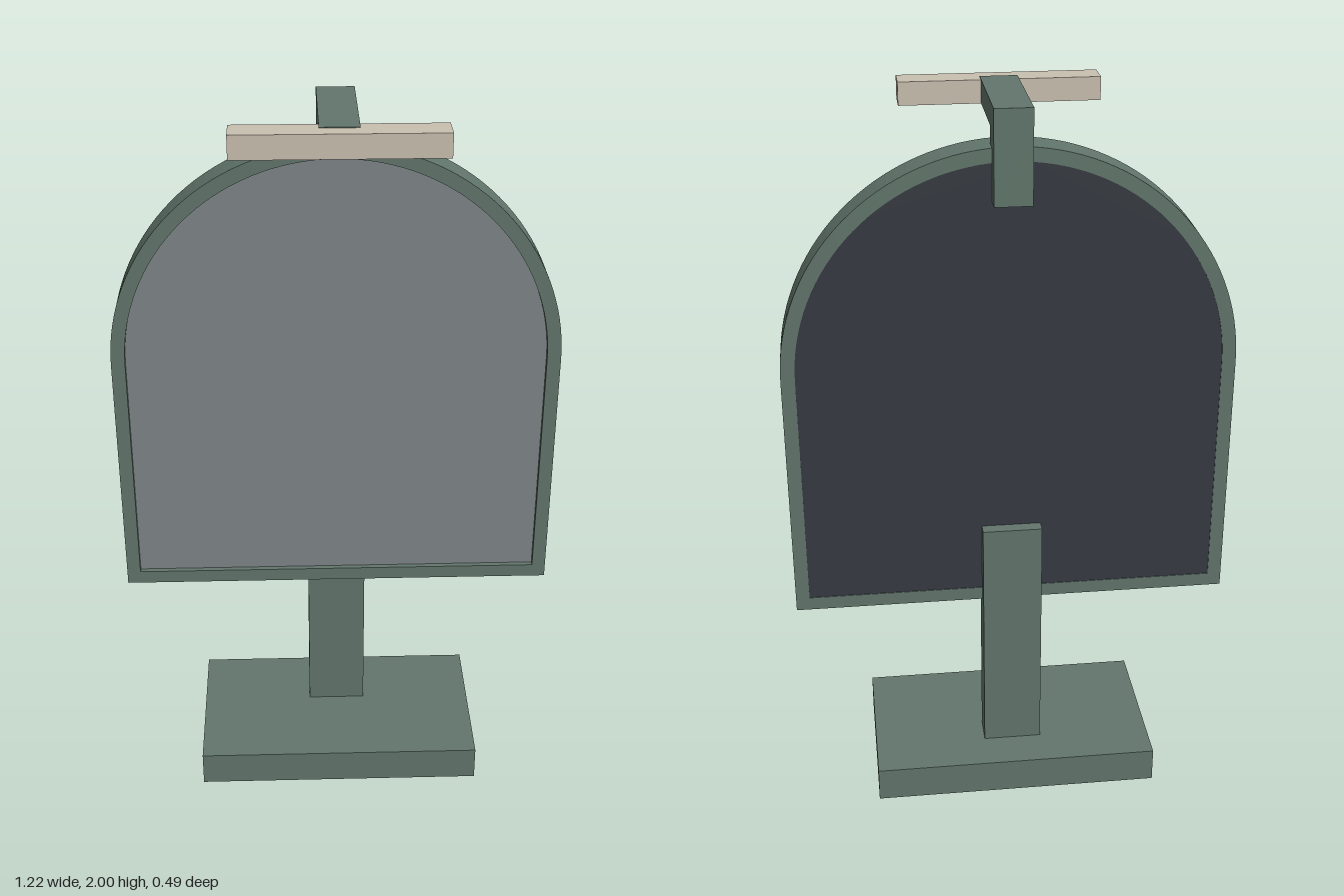
import * as THREE from 'three';

const material = (name, color) => {
  const m = new THREE.MeshStandardMaterial({ color });
  m.name = name;
  return m;
};

// Arched outline: straight sides and base, half-round top
function arch(Outline, r, bottom, spring) {
  const s = new Outline();
  s.moveTo(-r, bottom);
  s.lineTo(r, bottom);
  s.lineTo(r, spring);
  s.absarc(0, spring, r, 0, Math.PI, false);
  s.lineTo(-r, bottom);
  return s;
}

export function createModel() {
  const green = material('painted green', 0x62766c);
  const grey = material('mirror grey', 0x7f8589);
  const dark = material('dark backing', 0x363b42);
  const beige = material('lamp beige', 0xc9c0b0);
  const model = new THREE.Group();
  model.name = 'standingMirror';

  const add = (name, geometry, mat) => {
    const mesh = new THREE.Mesh(geometry, mat);
    mesh.name = name;
    model.add(mesh);
  };
  // Box given by its lower and upper limits on each axis
  const box = (name, [x0, x1], [y0, y1], [z0, z1], mat) => add(name,
    new THREE.BoxGeometry(x1 - x0, y1 - y0, z1 - z0)
      .translate((x0 + x1) / 2, (y0 + y1) / 2, (z0 + z1) / 2), mat);
  // Extruded outline between two depths
  const slab = (name, shape, z0, z1, mat) => add(name,
    new THREE.ExtrudeGeometry(shape, { depth: z1 - z0, bevelEnabled: false, curveSegments: 32 })
      .translate(0, 0, z0), mat);

  // Foot and post
  box('base', [-0.405, 0.405], [0, 0.1], [-0.247, 0.222], green);
  box('post', [-0.083, 0.083], [0.1, 0.81], [-0.13, -0.045], green);

  // Arched frame with its front glass and backing
  const ring = arch(THREE.Shape, 0.612, 0.572, 1.28);
  ring.holes.push(arch(THREE.Path, 0.574, 0.61, 1.28));
  slab('frame', ring, -0.096, 0, green);
  slab('mirrorGlass', arch(THREE.Shape, 0.574, 0.61, 1.28), -0.024, -0.015, grey);
  slab('backPanel', arch(THREE.Shape, 0.574, 0.61, 1.28), -0.094, -0.086, dark);

  // Lamp bracket and bar above the arch
  box('bracketUpright', [-0.05, 0.05], [1.75, 1.95], [-0.14, -0.053], green);
  box('bracketArm', [-0.05, 0.05], [1.937, 2], [-0.14, 0.2], green);
  box('lampBar', [-0.268, 0.268], [1.936, 1.998], [0.167, 0.247], beige);

  return model;
}
